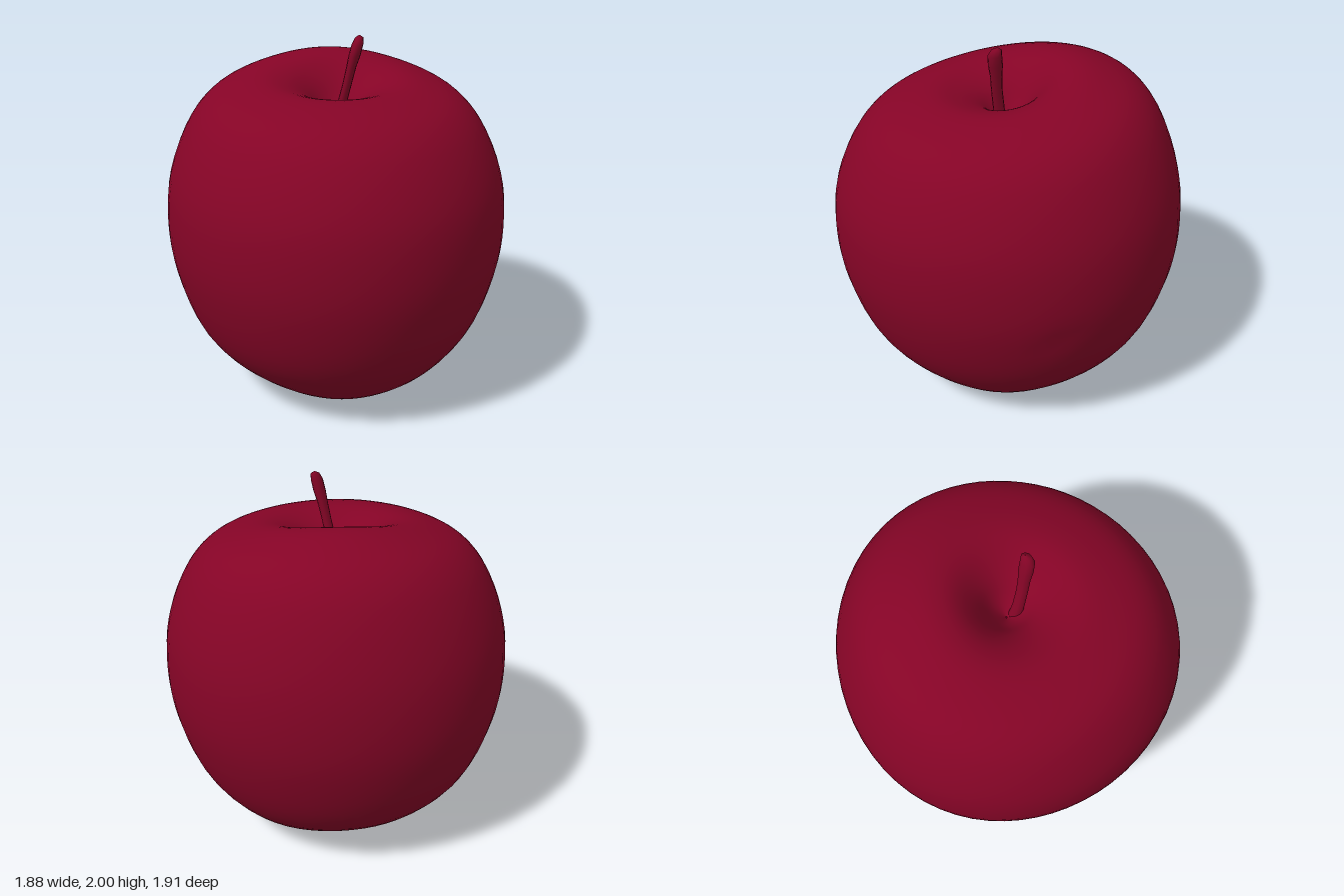
import * as THREE from 'three';

const appleRed = new THREE.MeshStandardMaterial({ color: 0x850426, side: THREE.DoubleSide });
appleRed.name = 'appleRed';

// Skin of quads over closed rings; rings run from bottom to top, angle 0 faces +z.
function skin(rings, sides, pointAt) {
  const pos = [], index = [];
  for (let i = 0; i < rings; i++) {
    for (let j = 0; j < sides; j++) {
      pos.push(...pointAt(i / (rings - 1), (j / sides) * Math.PI * 2));
      if (i === rings - 1) continue;
      const k = (j + 1) % sides;
      const a = i * sides + j, b = i * sides + k;
      index.push(a, b, b + sides, a, b + sides, a + sides);
    }
  }
  const g = new THREE.BufferGeometry();
  g.setAttribute('position', new THREE.Float32BufferAttribute(pos, 3));
  g.setIndex(index);
  g.computeVertexNormals();
  return g;
}

// Half section of the fruit (radius, height), from calyx hollow to stem hollow
const section = new THREE.CatmullRomCurve3([
  [0.004, 0.22], [0.06, 0.19], [0.14, 0.1], [0.23, 0.04], [0.33, 0.037], [0.45, 0.074],
  [0.6, 0.16], [0.8, 0.39], [0.92, 0.72], [0.95, 0.98], [0.92, 1.26], [0.8, 1.545],
  [0.68, 1.675], [0.52, 1.747], [0.38, 1.772], [0.26, 1.745], [0.16, 1.68], [0.08, 1.59],
  [0.004, 1.52],
].map(([r, y]) => new THREE.Vector3(r, y, 0)), false, 'centripetal');

function fruitPoint(t, a) {
  const p = section.getPoint(t);
  const s = Math.sin(a), c = Math.cos(a);
  let r = p.x, y = p.y;
  // shoulder stands higher at the back and left
  const rim = THREE.MathUtils.smoothstep(r, 0, 0.3);
  const shoulder = THREE.MathUtils.smoothstep(p.y, 1.0, 1.78) * rim;
  y += shoulder * (0.01 * Math.sin(2 * a) + 0.008 * Math.cos(2 * a) - 0.058 * c - 0.032 * s);
  // uneven, gently lobed base
  const base = 1 - THREE.MathUtils.smoothstep(p.y, 0.03, 0.4);
  y -= base * rim * (0.027 * s + 0.006 * Math.cos(5 * a - 1.9));
  // slightly uneven girth
  r *= 0.995 + 0.006 * Math.cos(2 * a) + 0.006 * Math.sin(2 * a) + 0.0065 * s
    + 0.009 * Math.sin(3 * a) + 0.0025 * Math.cos(4 * a);
  // small bruise on one side
  const d2 = ((a - 1.99) / 0.1) ** 2 + ((p.y - 0.72) / 0.07) ** 2;
  r -= 0.012 * Math.exp(-d2);
  // calyx hollow sits off centre
  const shift = p.y < 0.5 ? 0.03 * (1 - THREE.MathUtils.smoothstep(p.x, 0.08, 0.42)) : 0;
  return [r * s - shift, y, r * c + shift];
}

// Stem stations: x, y, z, radius
const stations = [
  [0.02, 1.49, 0.03, 0.036], [0.05, 1.62, 0.045, 0.03], [0.083, 1.74, 0.05, 0.029],
  [0.105, 1.83, 0.05, 0.031], [0.122, 1.89, 0.05, 0.037], [0.138, 1.95, 0.05, 0.036],
  [0.144, 1.985, 0.04, 0.026], [0.144, 1.999, 0.035, 0.001],
];
function stemPoint(t, a) {
  const [x, y, z, r] = stations[Math.round(t * (stations.length - 1))];
  return [x + r * 0.85 * Math.sin(a), y, z + r * 1.05 * Math.cos(a)];
}

export function createModel() {
  const model = new THREE.Group();
  model.name = 'apple';
  const add = (name, geometry) => {
    const mesh = new THREE.Mesh(geometry, appleRed);
    mesh.name = name;
    model.add(mesh);
    return mesh;
  };

  add('fruit', skin(73, 64, fruitPoint));
  add('stem', skin(stations.length, 9, stemPoint));

  // dried sepals inside the lower hollow
  for (let i = 0; i < 5; i++) {
    const a = (i / 5) * Math.PI * 2 + 0.3;
    const sepal = add('sepal', new THREE.ConeGeometry(0.022, 0.09, 5));
    sepal.position.set(0.035 * Math.sin(a) - 0.03, 0.165, 0.035 * Math.cos(a) + 0.03);
    sepal.rotation.set(Math.PI - 0.35 * Math.cos(a), 0, 0.35 * Math.sin(a));
  }
  return model;
}
